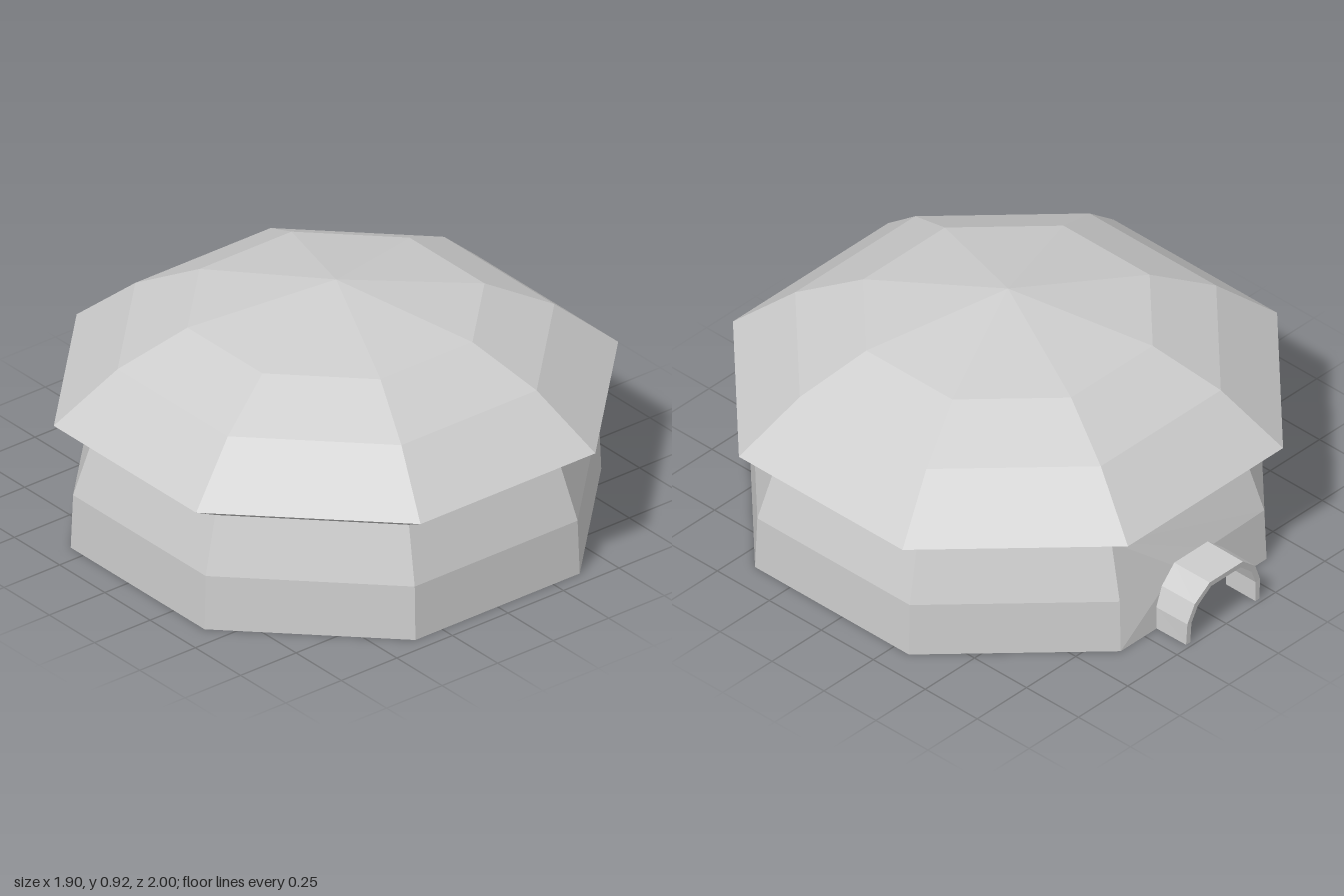
import * as THREE from 'three';

const CENTRE_Z = 0.05;
// Flat-to-centre radius and height
const WALL = [[0.893, 0], [0.885, 0.21], [0.82, 0.42]];
const ROOF = [[0.82, 0.42], [0.95, 0.5], [0.735, 0.69], [0.5, 0.815], [0, 0.92]];
// Right half of the entrance arch, from the ground to the top
const ARCH_OUTER = [[0.188, 0], [0.186, 0.09], [0.155, 0.165], [0.085, 0.225]];
const ARCH_INNER = [[0.165, 0], [0.163, 0.085], [0.136, 0.148], [0.075, 0.203]];

const mirrored = (half) => [...half, ...half.map(([x, y]) => [-x, y]).reverse()];

// Radius of the wall at a given height
function wallRadius(y) {
  const i = y <= WALL[1][1] ? 0 : 1;
  const [r0, y0] = WALL[i], [r1, y1] = WALL[i + 1];
  return r0 + (r1 - r0) * (y - y0) / (y1 - y0);
}
const wallZ = (y) => CENTRE_Z - wallRadius(y);
const frontZ = (y) => -0.983 - 0.017 * (y / 0.225) ** 1.5;

// Octagonal shell with flat sides facing the axes
function octagon(profile, start, sides) {
  const pts = profile.map(([r, y]) => new THREE.Vector2(r / Math.cos(Math.PI / 8), y));
  return new THREE.LatheGeometry(pts, sides, start, sides * Math.PI / 4).translate(0, 0, CENTRE_Z);
}

// Back wall panel with the entrance cut out of its lower edge
function backWall() {
  const half = WALL.map(([r, y]) => [r * Math.tan(Math.PI / 8), y]);
  const outline = [...mirrored(half), ...mirrored(ARCH_INNER).reverse()];
  const geo = new THREE.ShapeGeometry(new THREE.Shape(outline.map(([x, y]) => new THREE.Vector2(x, y))));
  const p = geo.attributes.position;
  for (let i = 0; i < p.count; i++) p.setZ(i, wallZ(p.getY(i)));
  geo.computeVertexNormals();
  return geo;
}

// Arch: outer skin, front rim and inner skin joined as four rows
function archGeometry() {
  const outer = mirrored(ARCH_OUTER), inner = mirrored(ARCH_INNER);
  const rows = [
    outer.map(([x, y]) => [x, y, wallZ(y)]),
    outer.map(([x, y]) => [x * 0.99, y, frontZ(y)]),
    inner.map(([x, y]) => [x, y, frontZ(y)]),
    inner.map(([x, y]) => [x, y, wallZ(y)]),
  ];
  const n = outer.length, index = [];
  for (let r = 0; r < 3; r++) {
    for (let i = 0; i < n - 1; i++) {
      const a = r * n + i, b = a + n;
      index.push(a, b, a + 1, b, b + 1, a + 1);
    }
  }
  // Feet of the arch
  for (const i of [0, n - 1]) index.push(i, n + i, 2 * n + i, i, 2 * n + i, 3 * n + i);
  const geo = new THREE.BufferGeometry();
  geo.setAttribute('position', new THREE.Float32BufferAttribute(rows.flat(2), 3));
  geo.setIndex(index);
  const flat = geo.toNonIndexed();
  flat.computeVertexNormals();
  return flat;
}

export function createModel() {
  const group = new THREE.Group();
  group.name = 'domedHut';
  const grey = new THREE.MeshStandardMaterial({ color: 0xcccccc, flatShading: true, side: THREE.DoubleSide });
  grey.name = 'light grey';

  const add = (name, geo) => {
    const mesh = new THREE.Mesh(geo, grey);
    mesh.name = name;
    group.add(mesh);
  };
  add('walls', octagon(WALL, Math.PI * 9 / 8, 7));
  add('backWall', backWall());
  add('roof', octagon(ROOF, Math.PI / 8, 8));
  add('entranceArch', archGeometry());
  return group;
}
